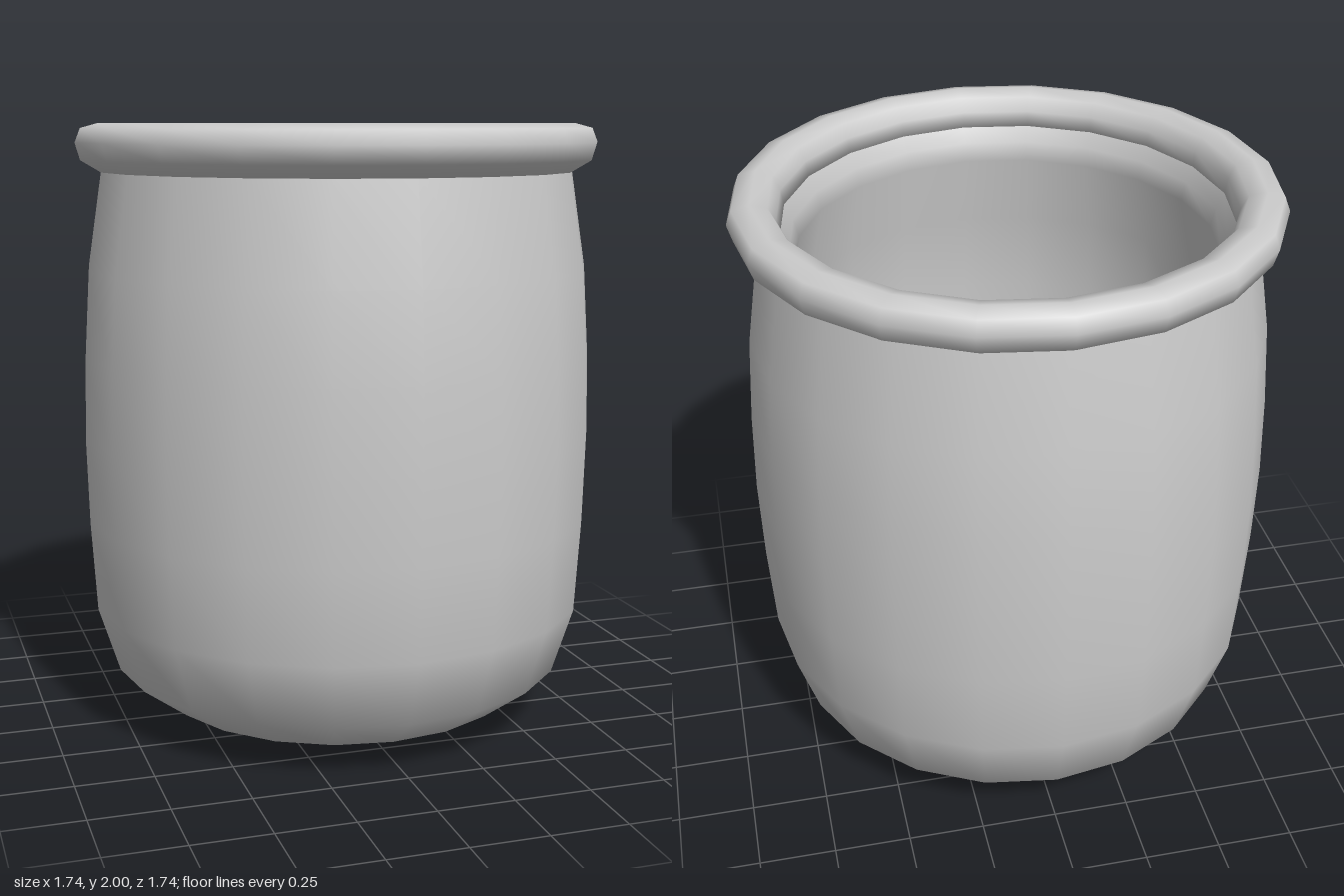
import * as THREE from 'three';

const SIDES = 20;

// Turns a list of [radius, height] pairs into a smooth revolved surface
function turned(name, points, material) {
  const profile = points.map(([r, y]) => new THREE.Vector2(r, y));
  const geometry = new THREE.LatheGeometry(profile, SIDES);
  const mesh = new THREE.Mesh(geometry, material);
  mesh.name = name;
  return mesh;
}

export function createModel() {
  const jar = new THREE.Group();
  jar.name = 'jar';
  const material = new THREE.MeshStandardMaterial({ color: 0xcccccc, side: THREE.DoubleSide });

  // Barrel-shaped outside with a gently domed base
  jar.add(turned('outerWall', [
    [0, 0], [0.22, 0.005], [0.42, 0.02], [0.61, 0.065], [0.765, 0.18], [0.835, 0.4],
    [0.853, 0.7], [0.86, 0.98], [0.853, 1.25], [0.835, 1.53], [0.785, 1.85],
  ], material));

  // Hollow inside, from the neck down to the rounded floor
  jar.add(turned('innerWall', [
    [0.71, 1.89], [0.685, 1.84], [0.67, 1.78], [0.73, 1.53], [0.75, 1.25], [0.755, 0.98],
    [0.75, 0.7], [0.73, 0.44], [0.66, 0.25], [0.53, 0.15], [0.36, 0.11], [0.18, 0.1], [0, 0.095],
  ], material));

  // Thick rolled lip
  jar.add(turned('rim', [
    [0.785, 1.845], [0.852, 1.885], [0.868, 1.94], [0.85, 1.985], [0.795, 2],
    [0.74, 1.985], [0.718, 1.94], [0.71, 1.89], [0.785, 1.845],
  ], material));

  return jar;
}
